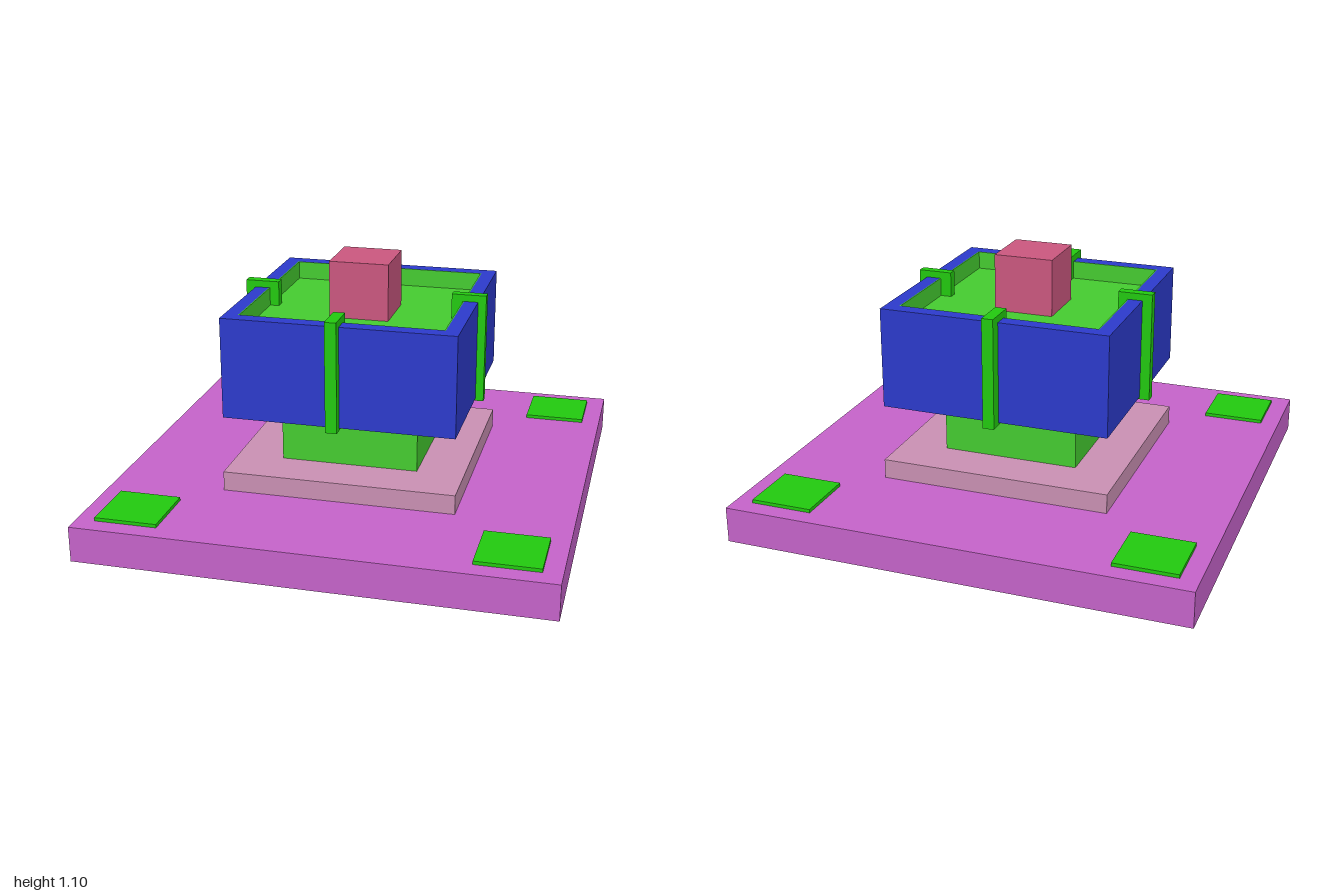
import * as THREE from 'three';

const paint = (color) => new THREE.MeshStandardMaterial({ color, flatShading: true });
const purple = paint(0xc563c9), mauve = paint(0xc990b3), green = paint(0x45cb30);
const brightGreen = paint(0x22c90f), blue = paint(0x2c3acb), rose = paint(0xca577f);

// Box from its width, depth, bottom and top, centred on (x, z)
function block(name, material, w, d, y0, y1, x = 0, z = 0) {
  const mesh = new THREE.Mesh(new THREE.BoxGeometry(w, y1 - y0, d), material);
  mesh.position.set(x, (y0 + y1) / 2, z);
  mesh.name = name;
  return mesh;
}

// Square ring of walls, given its outer and inner half-widths
function frame(name, material, outer, inner, y0, y1) {
  const square = (h, Type) => new Type([[-h, -h], [h, -h], [h, h], [-h, h]].map(([x, y]) => new THREE.Vector2(x, y)));
  const shape = square(outer, THREE.Shape);
  shape.holes.push(square(inner, THREE.Path));
  const geometry = new THREE.ExtrudeGeometry(shape, { depth: y1 - y0, bevelEnabled: false });
  geometry.rotateX(-Math.PI / 2);
  const mesh = new THREE.Mesh(geometry, material);
  mesh.position.y = y0;
  mesh.name = name;
  return mesh;
}

export function createModel() {
  const model = new THREE.Group();
  model.name = 'pedestalBasin';

  // Stepped base and column
  model.add(
    block('base', purple, 2, 2, 0, 0.155),
    block('plinth', mauve, 1.01, 1.01, 0.155, 0.24),
    block('column', green, 0.6, 0.6, 0.24, 0.49),
  );

  // Corner pads
  for (const x of [-0.785, 0.785])
    for (const z of [-0.785, 0.785])
      model.add(block('cornerPad', brightGreen, 0.27, 0.27, 0.155, 0.17, x, z));

  // Basin: blue walls and underside, green lining and floor, cube in the middle
  model.add(
    frame('basinWalls', blue, 0.5, 0.439, 0.49, 0.93),
    block('basinUnderside', blue, 0.878, 0.878, 0.49, 0.52),
    frame('basinLining', green, 0.439, 0.434, 0.85, 0.93),
    block('basinFloor', green, 0.878, 0.878, 0.8, 0.85),
    block('centreCube', rose, 0.26, 0.26, 0.85, 1.1),
  );

  // Upright clips through the middle of each wall
  model.add(
    block('frontClip', brightGreen, 0.05, 0.145, 0.48, 0.96, -0.015, 0.468),
    block('backClip', brightGreen, 0.05, 0.155, 0.48, 0.96, -0.003, -0.477),
    block('leftClip', brightGreen, 0.15, 0.04, 0.48, 0.96, 0.46, 0),
    block('rightClip', brightGreen, 0.15, 0.045, 0.48, 0.96, -0.468, -0.002),
  );
  return model;
}
